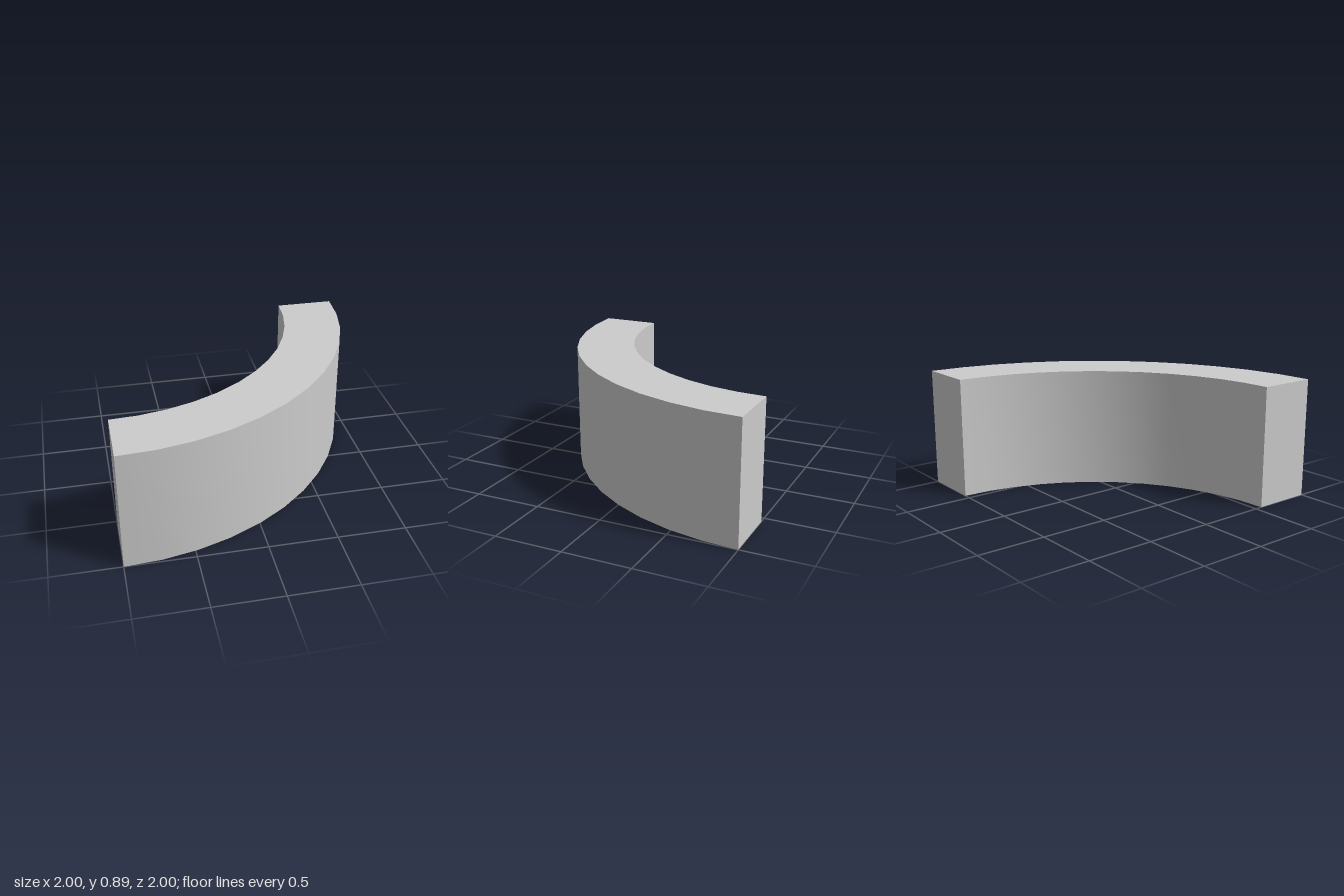
import * as THREE from 'three';
import { toCreasedNormals } from 'three/addons/utils/BufferGeometryUtils.js';

const OUTER = 2, INNER = 1.556, HEIGHT = 0.889;

export function createModel() {
  const group = new THREE.Group();
  group.name = 'curvedCorner';

  // Quarter-ring plan, swung about the back right corner
  const plan = new THREE.Shape();
  plan.absarc(-1, -1, OUTER, 0, Math.PI / 2, false);
  plan.absarc(-1, -1, INNER, Math.PI / 2, 0, true);
  plan.closePath();

  // Arcs get twice curveSegments, giving 12 facets each
  const solid = new THREE.ExtrudeGeometry(plan, {
    depth: HEIGHT, bevelEnabled: false, curveSegments: 6,
  });
  solid.rotateX(Math.PI / 2).translate(0, HEIGHT, 0);

  // Smooth curved walls with sharp rims and ends
  const block = new THREE.Mesh(
    toCreasedNormals(solid, 0.5),
    new THREE.MeshStandardMaterial({ color: 0xcccccc }),
  );
  block.name = 'quarterRingBlock';
  group.add(block);
  return group;
}
